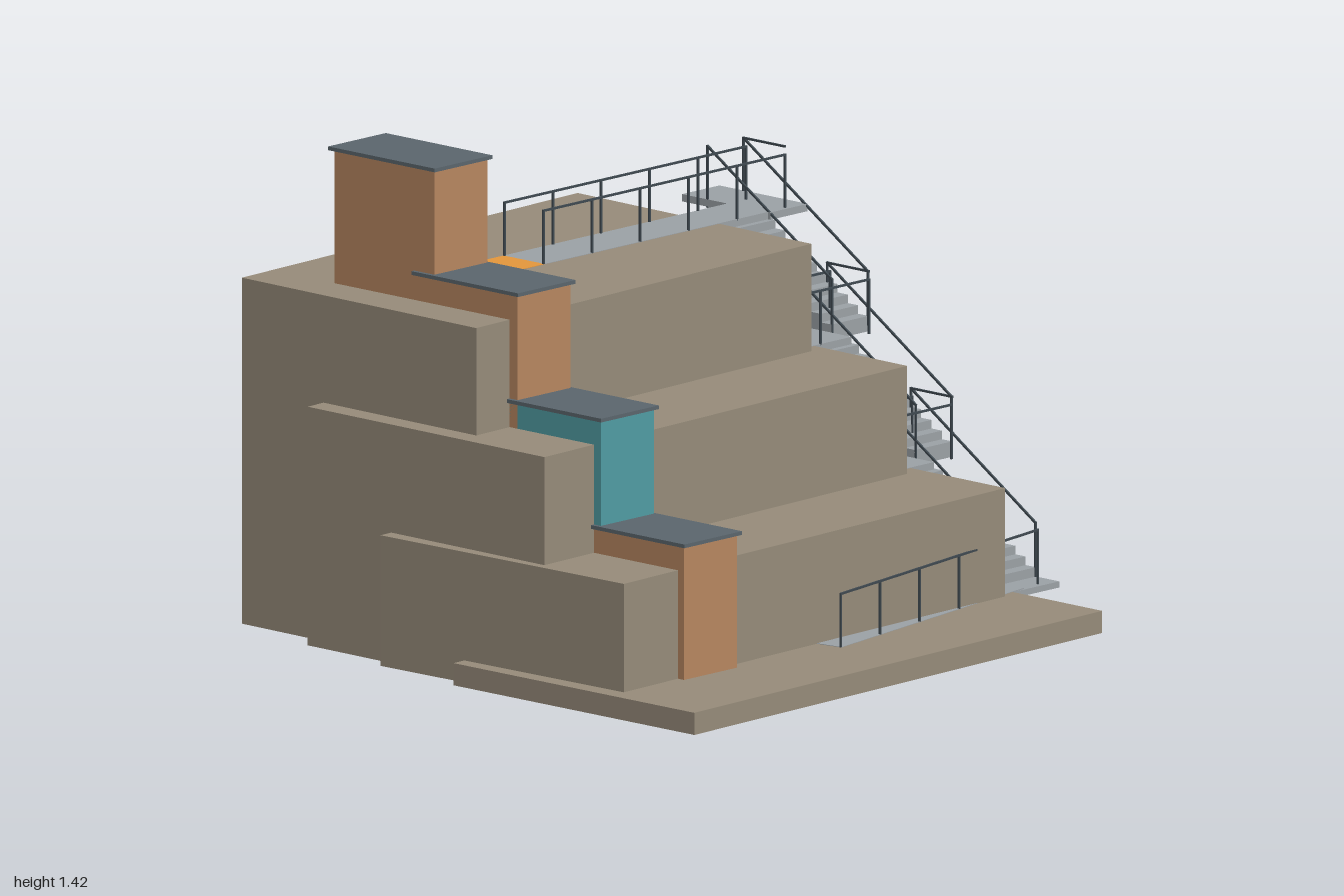
import * as THREE from 'three';

const paint = (name, color) => {
  const m = new THREE.MeshStandardMaterial({ color });
  m.name = name;
  return m;
};

export function createModel() {
  const stone = paint('stone', 0x958a79);
  const concrete = paint('concrete', 0x9aa0a4);
  const slate = paint('slate', 0x5a656c);
  const metal = paint('railing metal', 0x3e484f);
  const timber = paint('timber', 0xb5855f);
  const teal = paint('teal', 0x4f9ba1);
  const orange = paint('orange', 0xe2953b);

  const model = new THREE.Group();
  model.name = 'terracedBuilding';

  const add = (parent, name, geometry, material) => {
    const mesh = new THREE.Mesh(geometry, material);
    mesh.name = name;
    parent.add(mesh);
    return mesh;
  };
  // Box given by its lower and upper bounds
  const box = (parent, name, material, x0, x1, y0, y1, z0, z1) => {
    const mesh = add(parent, name, new THREE.BoxGeometry(x1 - x0, y1 - y0, z1 - z0), material);
    mesh.position.set((x0 + x1) / 2, (y0 + y1) / 2, (z0 + z1) / 2);
  };
  // Thin square bar between two points
  const forward = new THREE.Vector3(0, 0, 1);
  const bar = (parent, name, a, b) => {
    const from = new THREE.Vector3(...a), to = new THREE.Vector3(...b);
    const mesh = add(parent, name, new THREE.BoxGeometry(0.006, 0.006, from.distanceTo(to) + 0.005), metal);
    mesh.position.copy(from).lerp(to, 0.5);
    mesh.quaternion.setFromUnitVectors(forward, to.sub(from).normalize());
  };

  // Four slightly skewed terraces, each a plan outline raised from the ground
  const terraces = [
    [0.065, [-0.985, 0.05], [-0.98, 0.995], [0.785, 0.93], [0.79, -0.012]],
    [0.383, [-0.945, -0.275], [-0.925, 0.665], [0.73, 0.6], [0.737, -0.342]],
    [0.7, [-0.895, -0.61], [-0.905, 0.333], [0.67, 0.27], [0.685, -0.673]],
    [1.015, [-0.82, -0.94], [-0.835, -0.002], [0.62, -0.06], [0.64, -1]],
  ];
  terraces.forEach(([height, ...corners], i) => {
    const outline = new THREE.Shape(corners.map(([x, z]) => new THREE.Vector2(x, -z)));
    const geometry = new THREE.ExtrudeGeometry(outline, { depth: height, bevelEnabled: false });
    add(model, 'terrace' + (i + 1), geometry.rotateX(-Math.PI / 2), stone);
  });

  // One cabin per terrace, with a roof slab and a light strip
  const floors = terraces.map((t) => t[0]);
  floors.forEach((y, i) => {
    const cabin = new THREE.Group();
    cabin.name = 'cabin' + (i + 1);
    const front = 0.68 - i * 0.328;
    box(cabin, 'cabinWalls', i === 1 ? teal : timber, -0.69, -0.47, y, y + 0.39, front - 0.395, front);
    box(cabin, 'roof', slate, -0.702, -0.462, y + 0.39, y + 0.401, front - 0.408, front + 0.012);
    box(cabin, 'lightStrip', orange, -0.47, -0.463, y + 0.337, y + 0.351, front - 0.36, front - 0.04);
    model.add(cabin);
  });
  box(model, 'door', slate, -0.47, -0.463, 1.015, 1.32, -0.567, -0.442);
  box(model, 'window', teal, -0.47, -0.464, 1.165, 1.29, -0.66, -0.567);
  box(model, 'doorstepPath', orange, -0.465, -0.1, 1.01, 1.0165, -0.59, -0.43);

  // Walkways from the terraces to the stair, railed on both edges
  const railHeight = 0.157;
  const walkways = [
    [0.475, 0.163], [0.145, 0], [-0.18, 0], [-0.51, 0],
  ];
  walkways.forEach(([z, turn], i) => {
    const walkway = new THREE.Group();
    walkway.name = 'walkway' + (i + 1);
    walkway.position.set(0.905, floors[i], z);
    walkway.rotation.y = turn;
    box(walkway, 'walkwaySlab', concrete, -1.005, -0.075, -0.02, 0.0015, -0.08, 0.08);
    for (const side of [-0.077, 0.077]) {
      bar(walkway, 'handrail', [-1.005, railHeight, side], [0, railHeight, side]);
      for (let k = 0; k <= 5; k++) {
        const x = -k * 0.201;
        bar(walkway, 'post', [x, 0, side], [x, railHeight, side]);
      }
    }
    model.add(walkway);
  });

  // Three overlapping solid flights climbing to the back
  const x0 = 0.83, x1 = 0.985, steps = 12, run = 0.49;
  for (let i = 0; i < 3; i++) {
    const flight = new THREE.Group();
    flight.name = 'stairFlight' + (i + 1);
    const start = 0.48 - i * 0.33, end = start - run;
    const low = floors[i], high = floors[i + 1];
    const outline = new THREE.Shape();
    outline.moveTo(-start, low - 0.02);
    outline.lineTo(-end, low - 0.02);
    for (let k = steps; k > 0; k--) {
      const y = low + (high - 0.015 - low) * (k / steps);
      outline.lineTo(-start + (run * k) / steps, y);
      outline.lineTo(-start + (run * (k - 1)) / steps, y);
    }
    outline.closePath();
    const geometry = new THREE.ExtrudeGeometry(outline, { depth: x1 - x0, bevelEnabled: false });
    geometry.rotateY(Math.PI / 2).translate(x0, 0, 0);
    add(flight, 'steps', geometry, concrete);
    for (const x of [x0 + 0.003, x1 - 0.003]) {
      bar(flight, 'handrail', [x, low + railHeight, start], [x, high + railHeight, end]);
      bar(flight, 'lowerPost', [x, low, start], [x, low + railHeight, start]);
      bar(flight, 'upperPost', [x, high - 0.02, end], [x, high + railHeight, end]);
    }
    // Level rail along the outer edge at the head of the flight
    bar(flight, 'landingRail', [x1 - 0.003, high + railHeight, end + 0.163], [x1 - 0.003, high + railHeight, end]);
    model.add(flight);
  }

  // Landings at the foot and head of the stair
  box(model, 'footLanding', concrete, 0.79, x1, 0.045, 0.063, 0.47, 0.572);
  box(model, 'headLanding', concrete, x0, x1, 0.995, 1.0165, -0.768, -0.42);

  return model;
}
